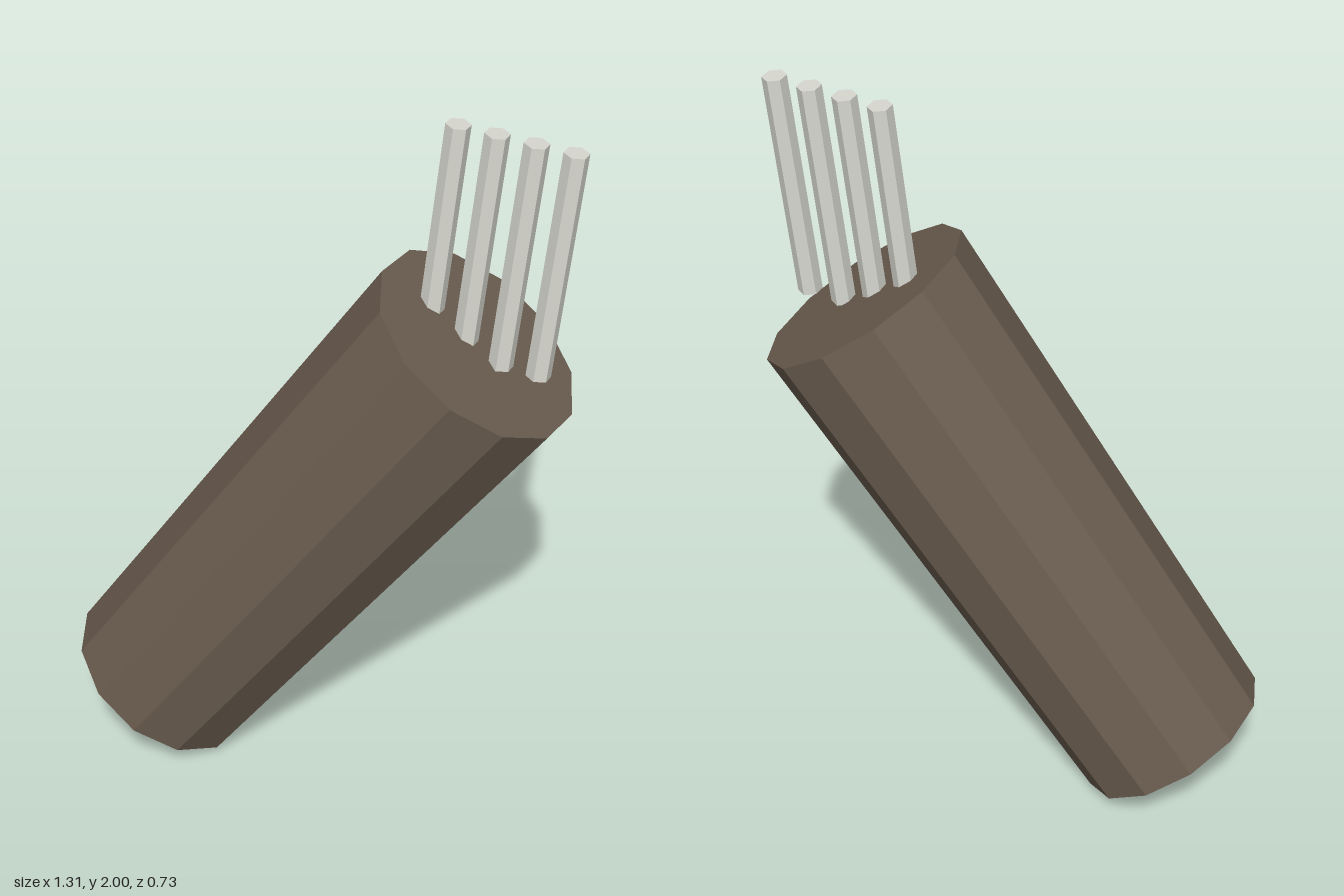
import * as THREE from 'three';

const material = (color) => new THREE.MeshStandardMaterial({ color, flatShading: true });

export function createModel() {
  const model = new THREE.Group();
  model.name = 'cylinderWithRods';

  // Leaning, slightly flared twelve-sided body: tilted sideways, then turned about y
  const body = new THREE.Mesh(
    new THREE.CylinderGeometry(0.3, 0.27, 1.524, 12),
    material(0x6b5d50)
  );
  body.name = 'body';
  body.rotation.set(0, 0.2, -0.6, 'YXZ');
  body.position.set(-0.018, 0.782, 0.015);
  model.add(body);

  // Row of four parallel hexagonal rods, partly sunk into the top of the body
  const rods = new THREE.Group();
  rods.name = 'rods';
  const rodGeometry = new THREE.CylinderGeometry(0.032, 0.032, 0.63, 6);
  const rodMaterial = material(0xd8d8d0);
  for (let i = 0; i < 4; i++) {
    const rod = new THREE.Mesh(rodGeometry, rodMaterial);
    rod.name = `rod${i + 1}`;
    rod.rotation.set(-0.054, 0, -0.083);
    rod.position.set(0.295 + i * 0.1015, 1.684, -0.078);
    rods.add(rod);
  }
  model.add(rods);

  return model;
}
